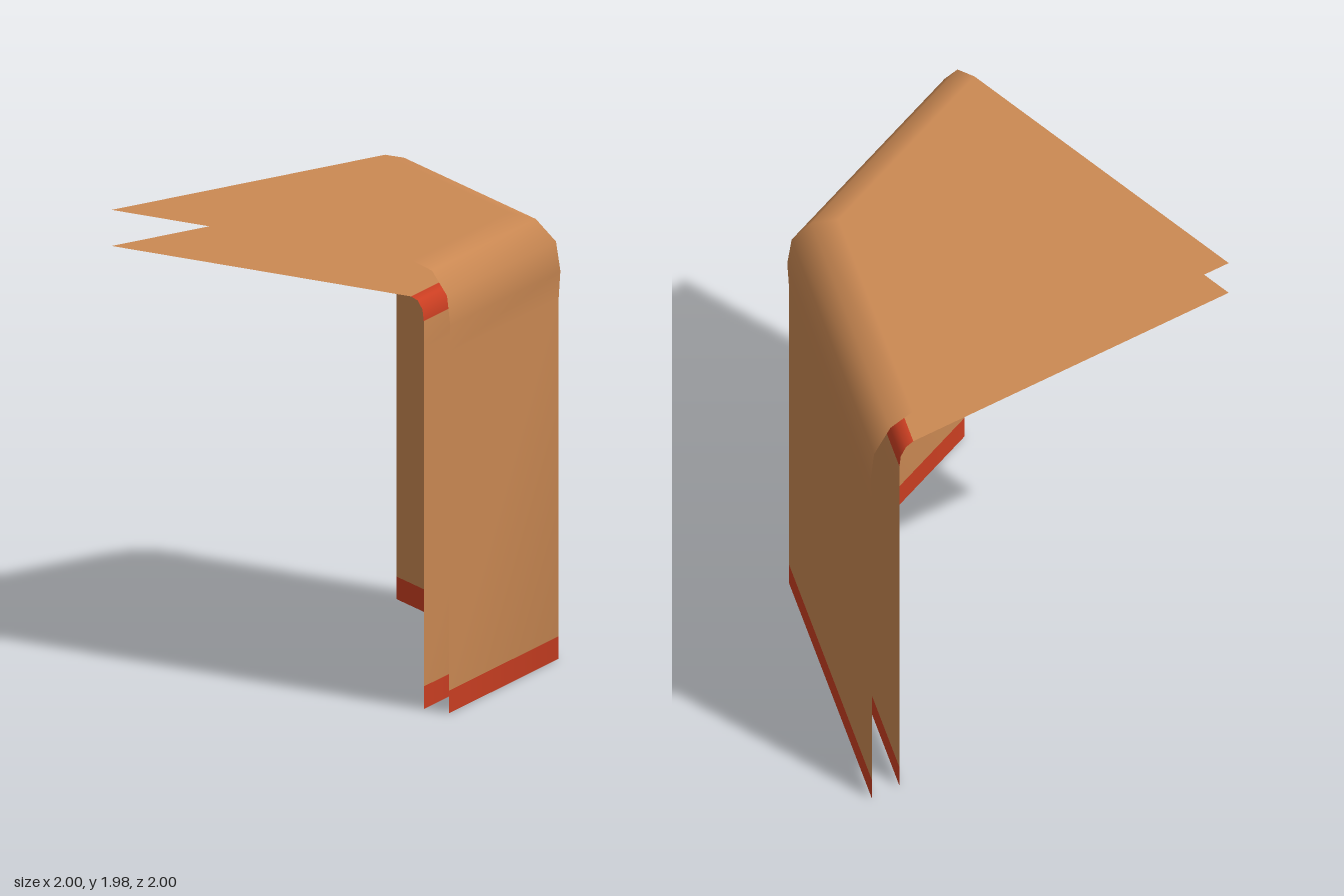
import * as THREE from 'three';

const orange = new THREE.MeshStandardMaterial({ color: 0xcb8953, side: THREE.DoubleSide });
orange.name = 'orange clay';
const red = new THREE.MeshStandardMaterial({ color: 0xcc3f22, side: THREE.DoubleSide });
red.name = 'red trim';

// Plan outline: left end, kink, right end, with the outward normals of both walls
const leftEnd = new THREE.Vector2(-1, 1);
const kink = new THREE.Vector2(0.28, 0.48);
const rightEnd = new THREE.Vector2(1, -1);
const outward = (a, b) => new THREE.Vector2(a.y - b.y, b.x - a.x).normalize();
const n1 = outward(leftEnd, kink);
const n2 = outward(kink, rightEnd);
const miter = n1.clone().add(n2).divideScalar(1 + n1.dot(n2));
const nKink = miter.clone().normalize();

// Outline moved inward by d; the kink is doubled so that it can be sharp
function outline(d) {
  const k = kink.clone().addScaledVector(miter, -d);
  return [new THREE.Vector2(-1, 1 - d / n1.y), k, k, new THREE.Vector2(1 - d / n2.x, -1)];
}

// Slope of the profile at row i: [outward, up]
function rowNormal(profile, i) {
  if (profile[i][1] <= 1.6) return [1, 0];
  if (i === profile.length - 1) return [0, 1];
  let h = 0, v = 0;
  for (const j of [i - 1, i]) {
    const dd = profile[j + 1][0] - profile[j][0];
    const dy = profile[j + 1][1] - profile[j][1];
    const len = Math.hypot(dd, dy);
    h += dy / len;
    v += dd / len;
  }
  const len = Math.hypot(h, v);
  return [h / len, v / len];
}

// Sweep part of a profile of [inset, height] points along the outline
function band(name, profile, from, to, material) {
  const pos = [], nor = [], index = [];
  for (let i = from; i <= to; i++) {
    const [d, y] = profile[i];
    const [h, v] = rowNormal(profile, i);
    const sharp = y === 1.6;
    const sides = sharp ? [n1, n1, n2, n2] : [n1, nKink, nKink, n2];
    outline(d).forEach((p, c) => {
      pos.push(p.x, y, p.y);
      nor.push(sides[c].x * h, v, sides[c].y * h);
    });
  }
  for (let r = 0; r < to - from; r++) {
    for (const c of [0, 2]) {
      const a = r * 4 + c;
      index.push(a, a + 1, a + 5, a, a + 5, a + 4);
    }
  }
  const g = new THREE.BufferGeometry();
  g.setAttribute('position', new THREE.Float32BufferAttribute(pos, 3));
  g.setAttribute('normal', new THREE.Float32BufferAttribute(nor, 3));
  g.setIndex(index);
  const mesh = new THREE.Mesh(g, material);
  mesh.name = name;
  return mesh;
}

// Flat sheet that closes the top back to the far corner
function topSheet(name, [d, y]) {
  const [a, k, , b] = outline(d);
  const shape = new THREE.Shape([a, k, b, new THREE.Vector2(-1, -1)].map((p) => new THREE.Vector2(p.x, -p.y)));
  const mesh = new THREE.Mesh(new THREE.ShapeGeometry(shape).rotateX(-Math.PI / 2), orange);
  mesh.position.y = y;
  mesh.name = name;
  return mesh;
}

// One open shell: bottom trim, wall, rounded top edge, flat top
function shell(name, profile, trimRow) {
  const last = profile.length - 1;
  const group = new THREE.Group();
  group.name = name;
  group.add(
    band('bottomTrim', profile, 0, 1, red),
    band('wall', profile, 1, 2, orange),
    band('roundedEdge', profile, 2, trimRow, orange),
    topSheet('topSheet', profile[last])
  );
  if (trimRow < last) group.add(band('topTrim', profile, trimRow, last, red));
  return group;
}

export function createModel() {
  const model = new THREE.Group();
  model.name = 'corner block';
  const outer = [[0.007, 0], [0.007, 0.1], [0.007, 1.6], [0, 1.72], [0.018, 1.85], [0.1, 1.95], [0.21, 1.98]];
  const inner = [[0.145, 0], [0.145, 0.1], [0.145, 1.6], [0.145, 1.72], [0.152, 1.77], [0.178, 1.807], [0.215, 1.82]];
  model.add(shell('outerShell', outer, 6), shell('innerShell', inner, 3));
  return model;
}
